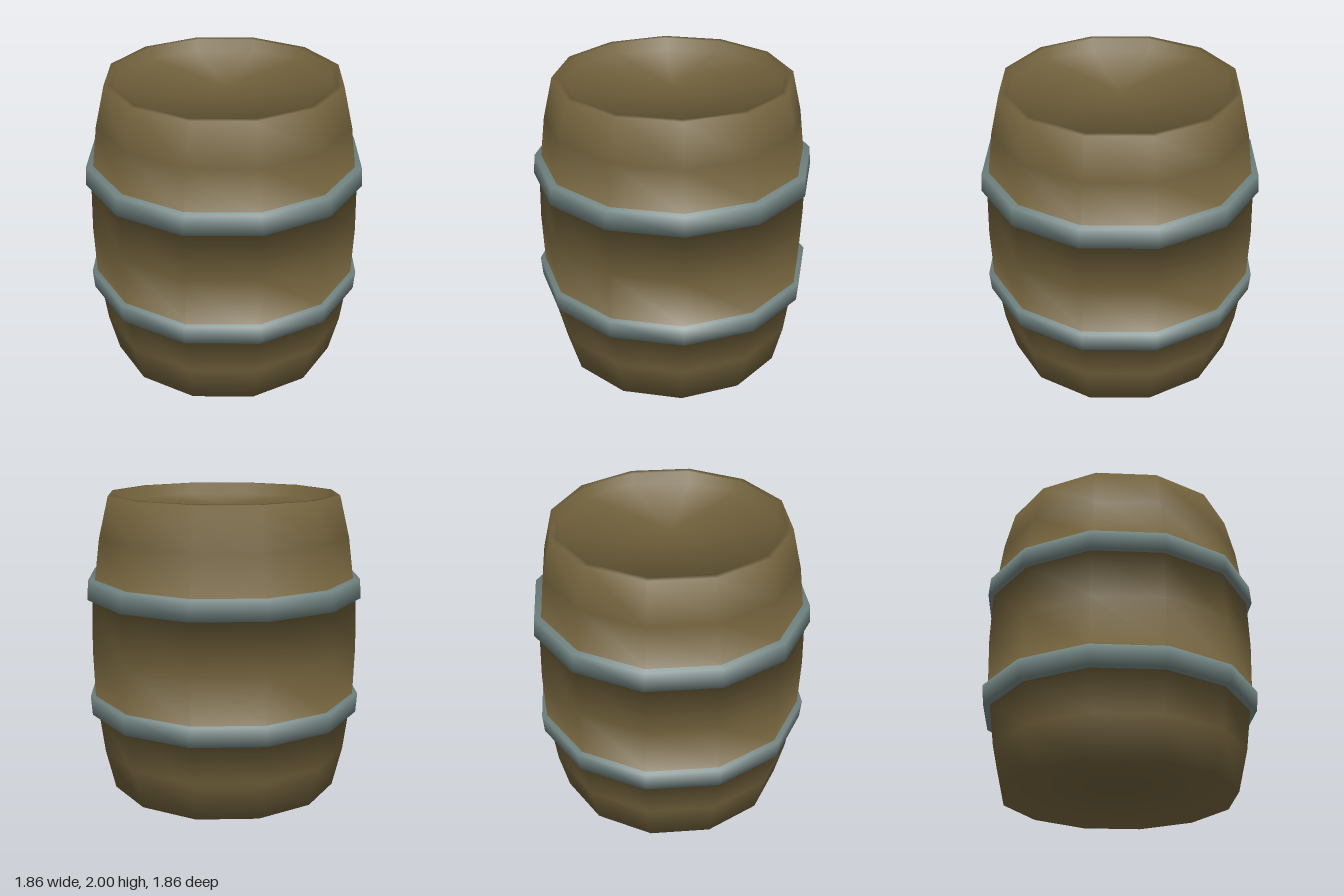
import * as THREE from 'three';

const SIDES = 12;

// Lower half of the barrel's profile, [radius, height], from the base centre to the waist.
const lower = [
  [0, 0.08], [0.73, 0.08], [0.73, 0], [0.775, 0],
  [0.84, 0.27], [0.875, 0.54],
  [0.92, 0.54], [0.93, 0.67], [0.895, 0.67],
];
const mirrored = lower.map(([r, y]) => [r, 2 - y]).reverse();
const profile = [...lower, [0.905, 1], ...mirrored].map(([r, y]) => new THREE.Vector2(r, y));

// Outward unit normal of one profile segment.
function segmentNormal(j) {
  const d = profile[j + 1].clone().sub(profile[j]).normalize();
  return new THREE.Vector2(d.y, -d.x);
}

// Whole barrel surface, with normals rounded evenly over every profile corner.
function barrelSurface() {
  const surface = new THREE.LatheGeometry(profile, SIDES);
  const last = profile.length - 1;
  const normals = surface.attributes.normal;
  for (let i = 0; i <= SIDES; i++) {
    const phi = (i / SIDES) * Math.PI * 2;
    for (let j = 0; j <= last; j++) {
      const n = new THREE.Vector2();
      if (j === 0) n.set(0, -1);
      else if (j === last) n.set(0, 1);
      else n.copy(segmentNormal(j - 1)).add(segmentNormal(j)).normalize();
      normals.setXYZ(i * (last + 1) + j, n.x * Math.sin(phi), n.y, n.x * Math.cos(phi));
    }
  }
  return surface;
}

// Takes the profile segments from..to-1 all the way around the surface.
function ringPart(surface, name, material, from, to) {
  const perSide = (profile.length - 1) * 6;
  const source = Array.from(surface.index.array);
  const index = [];
  for (let i = 0; i < SIDES; i++) {
    index.push(...source.slice(i * perSide + from * 6, i * perSide + to * 6));
  }
  const geometry = surface.clone();
  geometry.setIndex(index);
  const mesh = new THREE.Mesh(geometry, material);
  mesh.name = name;
  return mesh;
}

export function createModel() {
  const wood = new THREE.MeshStandardMaterial({ color: 0x70603b });
  wood.name = 'wood';
  const iron = new THREE.MeshStandardMaterial({ color: 0x718482 });
  iron.name = 'iron';

  const surface = barrelSurface();
  const barrel = new THREE.Group();
  barrel.name = 'barrel';
  barrel.add(
    ringPart(surface, 'bottomHead', wood, 0, 2),
    ringPart(surface, 'lowerStaves', wood, 2, 5),
    ringPart(surface, 'lowerHoop', iron, 5, 8),
    ringPart(surface, 'middleStaves', wood, 8, 10),
    ringPart(surface, 'upperHoop', iron, 10, 13),
    ringPart(surface, 'upperStaves', wood, 13, 16),
    ringPart(surface, 'topHead', wood, 16, 18),
  );
  return barrel;
}
